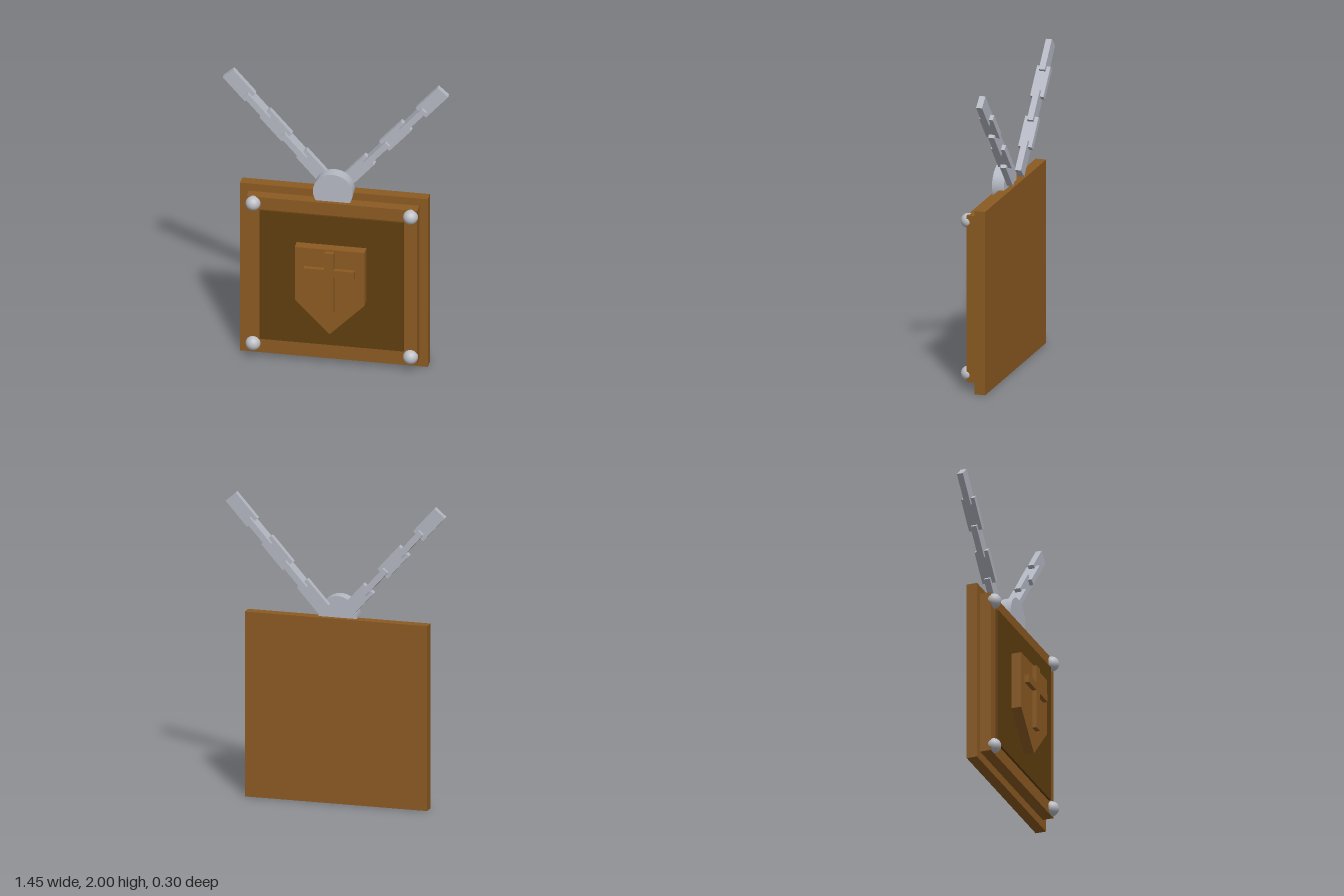
import * as THREE from 'three';

export function createModel() {
  const model = new THREE.Group();
  model.name = 'hangingSign';

  const material = (name, color) => {
    const m = new THREE.MeshStandardMaterial({ color });
    m.name = name;
    return m;
  };
  const wood = material('wood', 0x8b5a22);
  const darkWood = material('darkWood', 0x5f3e0e);
  const steel = material('steel', 0xb4b8c2);
  const studMetal = material('studMetal', 0xbcbec4);

  const add = (name, geometry, mat, x, y, z, parent = model) => {
    const mesh = new THREE.Mesh(geometry, mat);
    mesh.name = name;
    mesh.position.set(x, y, z);
    parent.add(mesh);
    return mesh;
  };
  const box = (w, h, d) => new THREE.BoxGeometry(w, h, d);

  // Stepped board with a dark field
  add('backBoard', box(1.21, 1.215, 0.07), wood, 0, 0.6075, -0.07);
  add('frontBoard', box(1.1, 1.105, 0.075), wood, 0, 0.61, 0.0);
  add('darkPanel', box(0.93, 0.93, 0.03), darkWood, 0, 0.61, 0.037);

  // Shield emblem
  const outline = new THREE.Shape([
    [-0.225, 0.87], [-0.225, 0.488], [0, 0.26], [0.225, 0.488], [0.225, 0.87],
  ].map(([x, y]) => new THREE.Vector2(x, y)));
  add('shield', new THREE.ExtrudeGeometry(outline, { depth: 0.07, bevelEnabled: false }), wood, 0, 0, 0.048);

  // Raised cross, cut as one outline
  const a = 0.03, b = 0.163;
  const crossOutline = new THREE.Shape([
    [-a, 0.425], [a, 0.425], [a, 0.685], [b, 0.685], [b, 0.738], [a, 0.738],
    [a, 0.858], [-a, 0.858], [-a, 0.738], [-b, 0.738], [-b, 0.685], [-a, 0.685],
  ].map(([x, y]) => new THREE.Vector2(x, y)));
  add('cross', new THREE.ExtrudeGeometry(crossOutline, { depth: 0.03, bevelEnabled: false }), wood, 0, 0, 0.117);

  // Corner studs
  const studGeometry = new THREE.SphereGeometry(0.048, 24, 16);
  for (const x of [-0.508, 0.508]) {
    for (const y of [0.105, 1.118]) add('cornerStud', studGeometry, studMetal, x, y, 0.041);
  }

  // Round hanger
  const disc = add('hangerDisc', new THREE.CylinderGeometry(0.128, 0.128, 0.08, 40), steel, 0, 1.228, -0.029);
  disc.rotation.x = Math.PI / 2;

  // Two chains of solid links, alternately turned a quarter
  const angle = THREE.MathUtils.degToRad(48.4);
  const pitch = 0.178;
  const flatLink = box(0.215, 0.09, 0.04);
  const turnedLink = box(0.215, 0.04, 0.09);
  for (const side of [-1, 1]) {
    const chain = new THREE.Group();
    chain.name = side > 0 ? 'leftChain' : 'rightChain';
    chain.position.set(side * 0.149, 1.356, -0.105);
    chain.rotation.z = side > 0 ? angle : Math.PI - angle;
    for (let i = 0; i < 5; i++) {
      add('chainLink', i % 2 ? turnedLink : flatLink, steel, i * pitch, 0, 0, chain);
    }
    model.add(chain);
  }

  return model;
}
